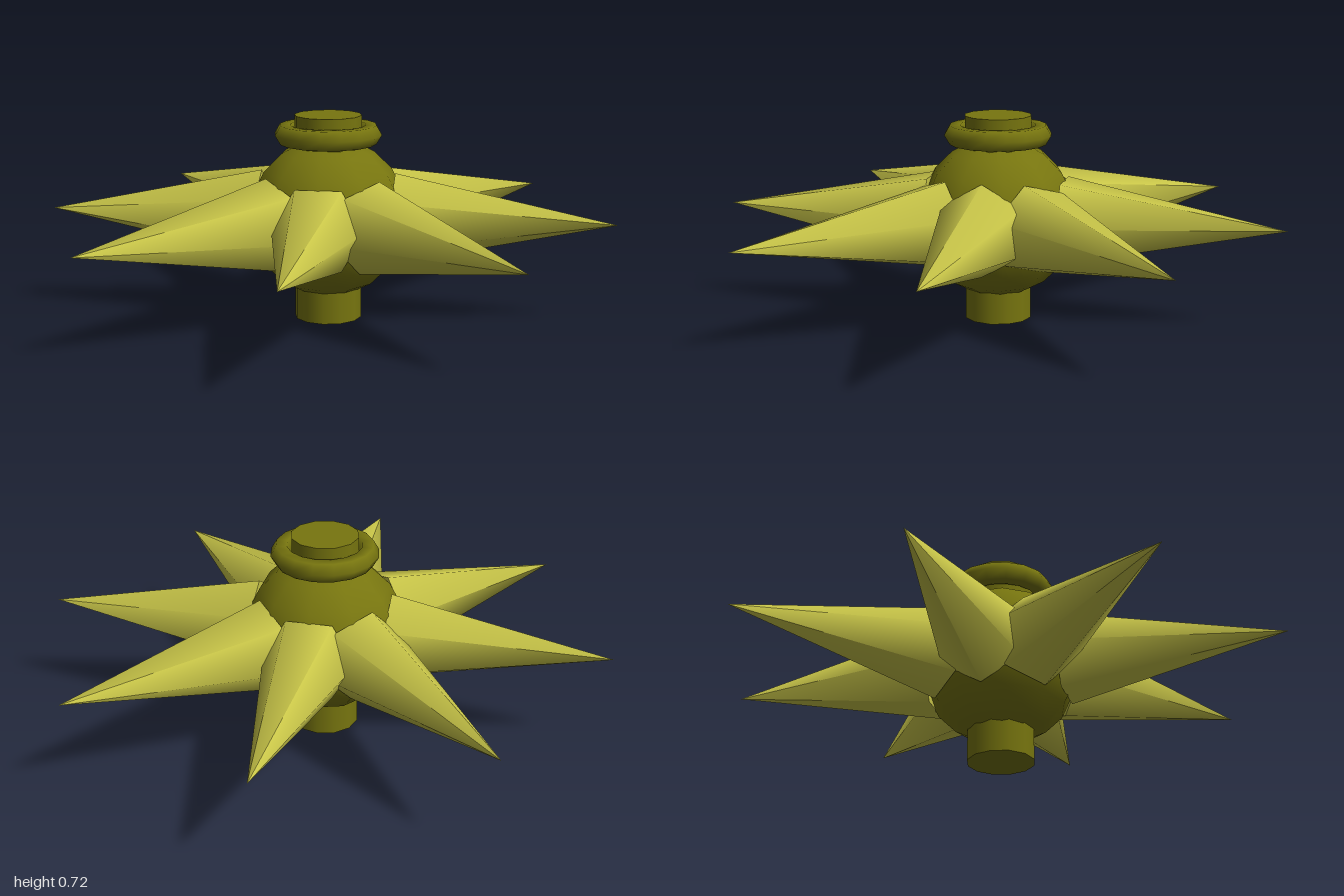
import * as THREE from 'three';

export function createModel() {
  const model = new THREE.Group();
  const olive = new THREE.MeshStandardMaterial({ color: 0x77750f });
  olive.name = 'dark olive';
  const yellow = new THREE.MeshStandardMaterial({ color: 0xc8c548 });
  yellow.name = 'yellow olive';

  const midY = 0.36;
  const add = (name, geometry, material, y) => {
    const mesh = new THREE.Mesh(geometry, material);
    mesh.name = name;
    mesh.position.y = y;
    model.add(mesh);
    return mesh;
  };

  // Hub ball, axle running through it and the collar near the top
  add('hub', new THREE.SphereGeometry(0.28, 10, 10).rotateY(Math.PI / 2), olive, midY);
  add('axle', new THREE.CylinderGeometry(0.118, 0.118, 0.72, 12), olive, 0.36);
  add('collar', new THREE.TorusGeometry(0.15, 0.038, 6, 16).rotateX(Math.PI / 2), olive, 0.653);

  // Eight six-sided spikes, each tilted from upright to point outwards
  const inner = 0.235, length = 1 - inner;
  const spike = new THREE.ConeGeometry(0.16, length, 6).rotateY(Math.PI / 2);
  spike.translate(0, inner + length / 2, 0);
  const up = new THREE.Vector3(0, 1, 0);
  for (let i = 0; i < 8; i++) {
    const a = (i * Math.PI) / 4;
    const direction = new THREE.Vector3(Math.cos(a), 0, Math.sin(a));
    add(`spike${i + 1}`, spike, yellow, midY).quaternion.setFromUnitVectors(up, direction);
  }
  return model;
}
